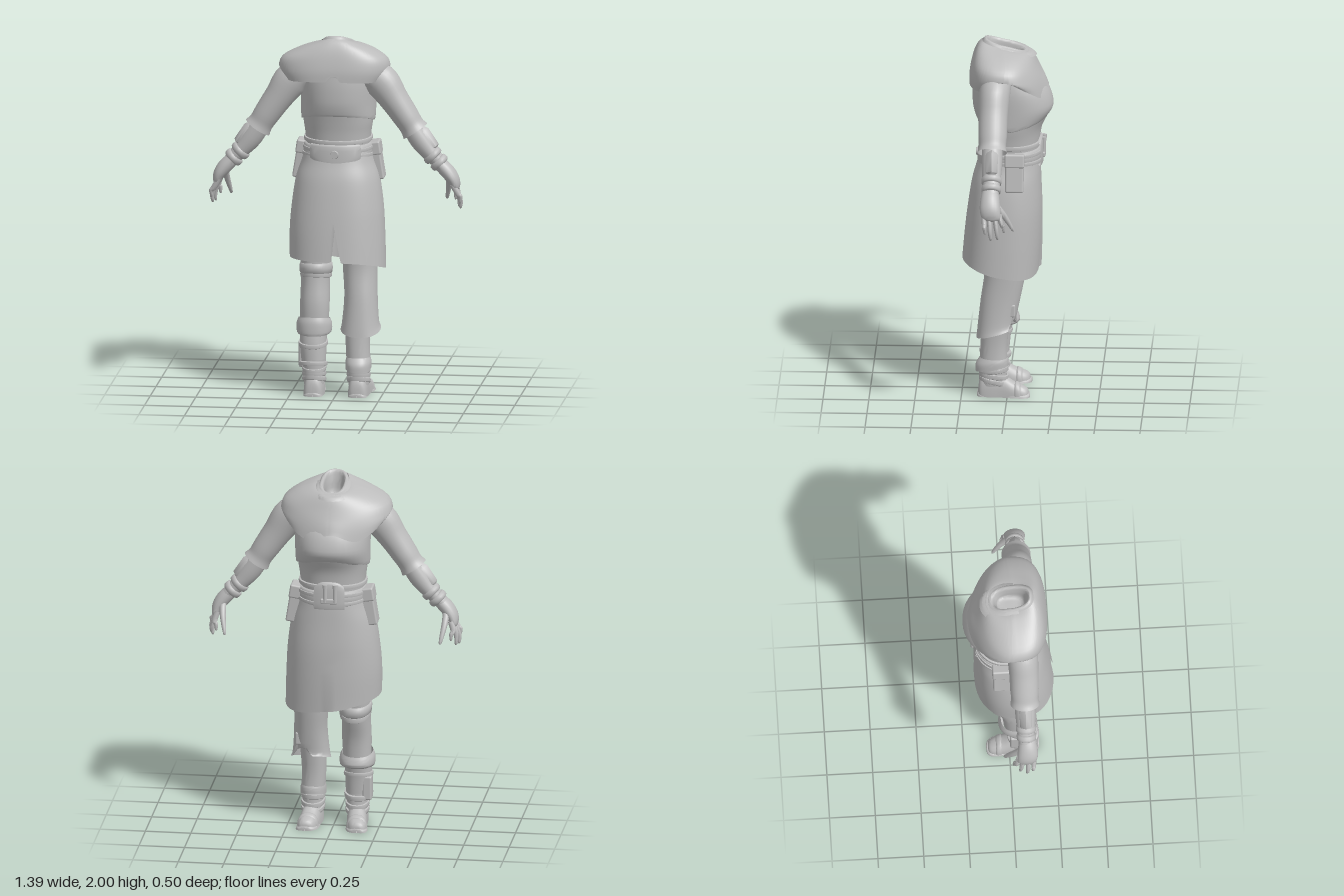
import * as THREE from 'three';
import { toCreasedNormals } from 'three/addons/utils/BufferGeometryUtils.js';
import { RoundedBoxGeometry } from 'three/addons/geometries/RoundedBoxGeometry.js';

const cloth = new THREE.MeshStandardMaterial({ color: 0xbcbcbc, side: THREE.DoubleSide });
cloth.name = 'grey cloth';

// Smooth interpolation through rows of numbers
function rowAt(rows, v) {
  const n = rows.length - 1, f = Math.min(v * n, n - 1e-6), i = Math.floor(f), t = f - i;
  const get = (k, c) => rows[Math.max(0, Math.min(n, k))][c] ?? 0;
  return [0, 1, 2, 3, 4, 5].map((c) => {
    const a = get(i - 1, c), b = get(i, c), d = get(i + 1, c), e = get(i + 2, c);
    const m0 = (d - a) / 2, m1 = (e - b) / 2, t2 = t * t, t3 = t2 * t;
    return b * (2 * t3 - 3 * t2 + 1) + m0 * (t3 - 2 * t2 + t) + d * (3 * t2 - 2 * t3) + m1 * (t3 - t2);
  });
}

// Surface from a rule fn(u, v) -> [x, y, z]
function sheet(name, fn, nu, nv, closed = true) {
  const pos = [], idx = [], cols = closed ? nu : nu + 1;
  for (let j = 0; j <= nv; j++) for (let i = 0; i < cols; i++) pos.push(...fn(i / nu, j / nv));
  for (let j = 0; j < nv; j++) for (let i = 0; i < nu; i++) {
    const k = (i + 1) % cols, a = j * cols + i, b = j * cols + k, c = b + cols, d = a + cols;
    idx.push(a, b, c, a, c, d);
  }
  const g = new THREE.BufferGeometry();
  g.setAttribute('position', new THREE.Float32BufferAttribute(pos, 3));
  g.setIndex(idx);
  return mesh(name, toCreasedNormals(g, 0.9));
}

function mesh(name, geometry, x = 0, y = 0, z = 0) {
  const m = new THREE.Mesh(geometry, cloth);
  m.name = name;
  m.position.set(x, y, z);
  return m;
}

const spow = (s, p) => Math.sign(s) * Math.abs(s) ** p;

// Upright loft, rows from bottom to top: [y, halfWidth, zBack, zFront, centreX, tilt]
// p and pf are the squareness of the +z and -z halves
function loft(name, rows, { p = 0.9, pf = p, seg = 40, sub = 4, range, mod } = {}) {
  return sheet(name, (u, v) => {
    const [y, rx, z1, z0, cx, tilt] = rowAt(rows, v);
    const [a0, a1] = range ? range(v) : [0, Math.PI * 2];
    const a = a0 + (a1 - a0) * u, s = Math.sin(a), c = Math.cos(a), e = c < 0 ? pf : p;
    const q = [cx + rx * spow(s, e), y + tilt * c, (z0 + z1) / 2 + (z1 - z0) / 2 * spow(c, e)];
    if (mod) mod(q, a, v);
    return q;
  }, seg, (rows.length - 1) * sub, !range);
}

// Limb along a path: [x, y, z, radius across, radius in z]
function limb(name, rows, seg = 20, sub = 4) {
  return sheet(name, (u, v) => {
    const [x, y, z, r1, r2] = rowAt(rows, v);
    const p = rowAt(rows, Math.max(0, v - 0.01)), q = rowAt(rows, Math.min(1, v + 0.01));
    const l = Math.hypot(q[0] - p[0], q[1] - p[1]) || 1, tx = (q[0] - p[0]) / l, ty = (q[1] - p[1]) / l;
    const a = u * Math.PI * 2, c = Math.cos(a) * r1;
    return [x - ty * c, y + tx * c, z + Math.sin(a) * r2];
  }, seg, (rows.length - 1) * sub);
}

// Band around a body or leg
function band(name, y, h, rx, zb, zf, cx = 0, tilt = 0, e = 0.014) {
  return loft(name, [[y - h / 2, rx - e, zb - e, zf + e, cx, tilt], [y - h * 0.4, rx, zb, zf, cx, tilt],
    [y + h * 0.4, rx, zb, zf, cx, tilt], [y + h / 2, rx - e, zb - e, zf + e, cx, tilt]], { sub: 2 });
}

function arm() {
  const g = new THREE.Group();
  g.add(limb('sleeve', [[0.15, 1.79, 0.055, 0.07, 0.08], [0.24, 1.75, 0.065, 0.095, 0.085], [0.315, 1.65, 0.07, 0.08, 0.08],
    [0.38, 1.555, 0.07, 0.072, 0.078], [0.412, 1.505, 0.07, 0.068, 0.074], [0.432, 1.475, 0.07, 0.077, 0.08]], 28));
  g.add(limb('forearm', [[0.39, 1.53, 0.07, 0.05, 0.055], [0.46, 1.425, 0.07, 0.057, 0.056], [0.52, 1.35, 0.07, 0.046, 0.05],
    [0.59, 1.28, 0.07, 0.035, 0.042]]));
  g.add(limb('forearmGuard', [[0.435, 1.475, 0.07, 0.05, 0.03], [0.452, 1.452, 0.07, 0.066, 0.045],
    [0.515, 1.372, 0.07, 0.058, 0.04], [0.52, 1.365, 0.07, 0.04, 0.025]], 8, 1));
  for (const [x, y, r] of [[0.527, 1.342, 0.054], [0.563, 1.304, 0.052]])
    g.add(limb('wristBand', [[x - 0.015, y + 0.015, 0.07, r - 0.016, r - 0.014], [x - 0.01, y + 0.01, 0.07, r, r],
      [x + 0.01, y - 0.01, 0.07, r, r], [x + 0.015, y - 0.015, 0.07, r - 0.016, r - 0.014]], 20, 2));
  g.add(limb('hand', [[0.57, 1.295, 0.075, 0.037, 0.045], [0.61, 1.255, 0.075, 0.04, 0.053], [0.643, 1.21, 0.073, 0.033, 0.056],
    [0.657, 1.165, 0.066, 0.02, 0.048], [0.66, 1.15, 0.064, 0.002, 0.01]]));
  // Four fingers, then the thumb
  [[0.024, 0.645, 1.085], [0.052, 0.668, 1.052], [0.082, 0.68, 1.05], [0.108, 0.682, 1.085]].forEach(([z, x, y], i) => {
    const tip = z * 1.2 - 0.03;
    g.add(limb('finger', [[0.64, 1.19, z, 0.016, 0.014], [0.657 + i * 0.005, 1.135, (z + tip) / 2, 0.015, 0.013],
      [x + 0.002, y + 0.04, tip + 0.004, 0.012, 0.011], [x, y + 0.006, tip, 0.007, 0.007], [x, y, tip, 0.001, 0.001]], 8, 3));
  });
  g.add(limb('thumb', [[0.615, 1.235, 0.045, 0.02, 0.022], [0.61, 1.18, 0.005, 0.017, 0.02], [0.6, 1.125, -0.028, 0.013, 0.014],
    [0.592, 1.085, -0.048, 0.008, 0.008], [0.59, 1.078, -0.05, 0.001, 0.001]], 10, 3));
  return g;
}

// Foot and sole from D-shaped sections, toe to heel: [z, halfWidth, height]
function foot(s) {
  const g = new THREE.Group(), cx = 0.122;
  const part = (name, rows) => sheet(name, (u, v) => {
    const [z, w, h] = rowAt(rows, v), a = u * Math.PI * 2;
    return [s * (cx + Math.max(0, 0.05 - z) * 0.12) + w * spow(Math.cos(a), 0.8), h * Math.max(0, spow(Math.sin(a), 0.8)), z];
  }, 28, (rows.length - 1) * 3);
  g.add(part('shoe', [[-0.117, 0.002, 0.01], [-0.112, 0.032, 0.042], [-0.085, 0.05, 0.06], [-0.035, 0.056, 0.08], [0.02, 0.056, 0.115],
    [0.08, 0.056, 0.13], [0.135, 0.05, 0.11], [0.155, 0.035, 0.07], [0.16, 0.002, 0.01]]));
  g.add(part('sole', [[-0.125, 0.002, 0.018], [-0.12, 0.036, 0.022], [-0.09, 0.057, 0.022], [-0.03, 0.06, 0.022], [0.04, 0.05, 0.022],
    [0.13, 0.052, 0.022], [0.16, 0.036, 0.022], [0.165, 0.002, 0.018]]));
  // Strap over the toes
  g.add(part('toeStrap', [[-0.075, 0.045, 0.05], [-0.07, 0.056, 0.07], [-0.045, 0.058, 0.08], [-0.04, 0.05, 0.07]]));
  g.add(loft('ankle', [[0.06, 0.056, 0.148, 0.0, s * cx], [0.12, 0.058, 0.148, 0.005, s * cx], [0.2, 0.064, 0.152, 0.005, s * cx]]));
  // Wrapped straps
  [[0.085, 0.02], [0.115, 0.012], [0.145, -0.01]].forEach(([y, t]) =>
    g.add(band('ankleWrap', y, 0.028, 0.064, 0.155, -0.006, s * cx, t, 0.009)));
  return g;
}

export function createModel() {
  const model = new THREE.Group();
  model.name = 'clothedFigure';
  const add = (...m) => model.add(...m);
  const tri = (a, c, w) => Math.max(0, 1 - Math.abs(a - c) / w);

  // Torso, vest, cape and hollow collar
  add(loft('torso', [[1.34, 0.17, 0.14, -0.165], [1.45, 0.18, 0.15, -0.175], [1.52, 0.19, 0.162, -0.19], [1.62, 0.197, 0.182, -0.235],
    [1.72, 0.198, 0.188, -0.212], [1.8, 0.19, 0.185, -0.16], [1.85, 0.12, 0.12, -0.08], [1.855, 0.01, 0.03, 0.01]]));
  add(loft('vest', [[1.515, 0.197, 0.17, -0.198], [1.53, 0.202, 0.176, -0.208], [1.62, 0.204, 0.192, -0.247], [1.72, 0.204, 0.196, -0.223],
    [1.8, 0.195, 0.19, -0.165]], { mod: (q, a, v) => { q[1] += 0.065 * Math.abs(Math.cos(a)) ** 1.2 * Math.max(0, 1 - v * 1.8); } }));
  add(loft('cape', [[1.735, 0.285, 0.212, -0.222, -0.016, 0.025], [1.795, 0.304, 0.21, -0.2, -0.016, 0.02], [1.865, 0.29, 0.197, -0.165, -0.014, 0.015],
    [1.918, 0.21, 0.18, -0.14, -0.004, 0.015], [1.95, 0.125, 0.16, -0.12, 0, 0.02], [1.958, 0.08, 0.14, -0.1, 0, 0.03]],
  { p: 0.72, pf: 1.04, seg: 144, mod: (q, a, v) => {
    const w = Math.max(0, 1 - v * 3.5), d = Math.min(a, Math.PI * 2 - a), c = Math.cos(a);
    q[1] += w * (0.095 * Math.abs(Math.sin(a)) ** 10 + 0.022 * Math.max(0, -c) * Math.cos(6 * d));
    if (c > 0) q[1] += 0.055 * tri(q[0], 0, 0.035) * Math.max(0, 1 - v * 9);
  } }));
  add(loft('collar', [[1.9, 0.115, 0.165, -0.145, 0, 0.02], [1.94, 0.09, 0.148, -0.125, 0, 0.028], [1.967, 0.072, 0.128, -0.1, 0, 0.033],
    [1.962, 0.056, 0.113, -0.082, 0, 0.033], [1.92, 0.05, 0.1, -0.065, 0, 0.025], [1.87, 0.045, 0.085, -0.05], [1.865, 0.001, 0.02, 0.019]],
  { p: 0.78 }));
  add(loft('collarFold', [[1.925, 0.112, 0.155, -0.155, -0.005, 0.02], [1.948, 0.1, 0.152, -0.138, 0, 0.026], [1.964, 0.077, 0.132, -0.107, 0, 0.032]],
    { range: () => [Math.PI * 0.45, Math.PI * 1.6] }));

  // Arms
  const leftArm = arm(), rightArm = arm();
  leftArm.name = 'leftArm';
  rightArm.name = 'rightArm';
  rightArm.scale.x = -1;
  add(leftArm, rightArm);

  // Skirt, slit on one side and lapped on the other
  add(loft('skirt', [[0.735, 0.262, 0.25, -0.168, 0.004, 0.03], [0.9, 0.26, 0.236, -0.18, 0, 0.015], [1.05, 0.25, 0.22, -0.185],
    [1.2, 0.228, 0.196, -0.18], [1.3, 0.196, 0.168, -0.176], [1.39, 0.176, 0.146, -0.168]], { p: 0.86, seg: 72, sub: 6,
    range: (v) => { const g = Math.max(0, 1 - v / 0.29); return [0.12 * g, Math.PI * 2 - 0.06 * g]; },
    mod: (q, a, v) => {
      const low = Math.max(0, 1 - v / 0.35);
      q[2] -= a > Math.PI ? 0.014 * low * tri(a, Math.PI, 0.9) : 0;
      q[1] -= 0.03 * low * Math.sin(a) * (1 - 0.7 * Math.cos(a));
    } }));

  // Belt with strap trims, plates and buckle
  add(band('belt', 1.35, 0.085, 0.188, 0.153, -0.184));
  add(band('upperStrap', 1.415, 0.025, 0.186, 0.154, -0.183, 0, -0.004));
  add(band('lowerStrap', 1.33, 0.022, 0.194, 0.16, -0.19, 0, 0.006));
  add(band('middleStrap', 1.368, 0.022, 0.192, 0.158, -0.189, 0, -0.004));
  add(loft('backPlate', [[1.28, 0.185, 0.155, -0.18], [1.286, 0.197, 0.167, -0.19], [1.39, 0.194, 0.163, -0.19], [1.4, 0.18, 0.148, -0.18]],
    { range: () => [-0.75, 0.75], seg: 24, mod: (q, a) => { if (q[1] < 1.34) q[1] += 0.045 * (Math.abs(a) / 0.75) ** 2; } }));
  const disc = mesh('buckleDisc', new THREE.CylinderGeometry(0.02, 0.024, 0.014, 20), 0, 1.35, 0.168);
  disc.rotation.x = Math.PI / 2;
  add(disc);
  add(loft('frontPlate', [[1.3, 0.185, 0.15, -0.178], [1.305, 0.198, 0.16, -0.192], [1.435, 0.196, 0.16, -0.19], [1.45, 0.18, 0.15, -0.172]],
    { range: () => [Math.PI - 0.4, Math.PI + 0.4], seg: 12, mod: (q, a) => { if (q[1] > 1.38) q[1] -= 0.03 * (Math.abs(a - Math.PI) / 0.4) ** 3; } }));
  for (const x of [-0.035, 0.02])
    add(mesh('beltVial', new THREE.CylinderGeometry(0.011, 0.011, 0.09, 12), x, 1.385, -0.194),
      mesh('vialCap', new THREE.CylinderGeometry(0.014, 0.014, 0.02, 12), x, 1.43, -0.194));
  add(mesh('frontBuckle', new RoundedBoxGeometry(0.09, 0.028, 0.018, 2, 0.006), 0, 1.345, -0.194));

  // Side pouches with flaps
  for (const s of [1, -1]) {
    const pouch = new THREE.Group();
    pouch.name = s > 0 ? 'leftPouch' : 'rightPouch';
    pouch.add(mesh('pouchBody', new RoundedBoxGeometry(0.068, 0.205, 0.1, 2, 0.01)),
      mesh('pouchFlap', new RoundedBoxGeometry(0.078, 0.075, 0.108, 2, 0.01), 0, 0.072, 0));
    pouch.position.set(s * 0.204, 1.285, -0.042);
    pouch.rotation.z = s * 0.16;
    add(pouch);
  }

  // Left leg: loose trouser with a torn hem
  add(loft('leftTrouser', [[0.37, 0.11, 0.168, -0.05, 0.132, -0.035], [0.41, 0.1, 0.162, -0.045, 0.13, -0.015], [0.55, 0.09, 0.145, -0.07, 0.13],
    [0.7, 0.094, 0.125, -0.1, 0.123], [0.85, 0.1, 0.13, -0.12, 0.12], [1.0, 0.1, 0.13, -0.13, 0.11]],
  { mod: (q, a, v) => { q[1] += 0.13 * tri(a, 2.75, 0.5) * Math.max(0, 1 - v * 4); } }));
  add(loft('leftShin', [[0.18, 0.065, 0.152, 0, 0.122], [0.3, 0.066, 0.146, 0, 0.117], [0.46, 0.072, 0.14, -0.02, 0.122]]));
  add(loft('leftBootCuff', [[0.155, 0.07, 0.175, -0.005, 0.122, -0.015], [0.19, 0.07, 0.172, -0.004, 0.122, -0.01], [0.22, 0.063, 0.148, 0.004, 0.12]]));
  add(mesh('legPocket', new RoundedBoxGeometry(0.04, 0.07, 0.05, 2, 0.008), 0.185, 0.5, -0.02));

  // Right leg: bound thigh, folded boot top and strapped shin
  add(loft('rightTrouser', [[0.36, 0.075, 0.13, -0.03, -0.125], [0.5, 0.08, 0.135, -0.045, -0.122], [0.63, 0.078, 0.122, -0.085, -0.122],
    [0.75, 0.084, 0.12, -0.11, -0.12], [1.0, 0.1, 0.13, -0.13, -0.11]]));
  add(band('kneeBand', 0.69, 0.06, 0.088, 0.126, -0.112, -0.12, 0.012));
  add(band('kneeRoll', 0.652, 0.03, 0.084, 0.124, -0.106, -0.12, 0.018));
  add(loft('bootTop', [[0.335, 0.075, 0.14, -0.03, -0.125], [0.345, 0.094, 0.152, -0.058, -0.125, -0.008], [0.39, 0.096, 0.15, -0.055, -0.125, 0.01],
    [0.42, 0.085, 0.14, -0.045, -0.125, 0.015]]));
  add(loft('rightShin', [[0.18, 0.066, 0.152, 0, -0.124], [0.28, 0.072, 0.15, -0.01, -0.128], [0.36, 0.072, 0.14, -0.025, -0.126]]));
  add(band('shinStrap', 0.285, 0.025, 0.079, 0.156, -0.018, -0.128, -0.012));
  add(band('shinStrap', 0.17, 0.025, 0.077, 0.162, -0.01, -0.128, 0.012));
  add(mesh('shinCase', new RoundedBoxGeometry(0.05, 0.135, 0.085, 2, 0.01), -0.182, 0.215, 0.045));

  for (const s of [1, -1]) {
    const f = foot(s);
    f.name = s > 0 ? 'leftFoot' : 'rightFoot';
    add(f);
  }
  return model;
}
